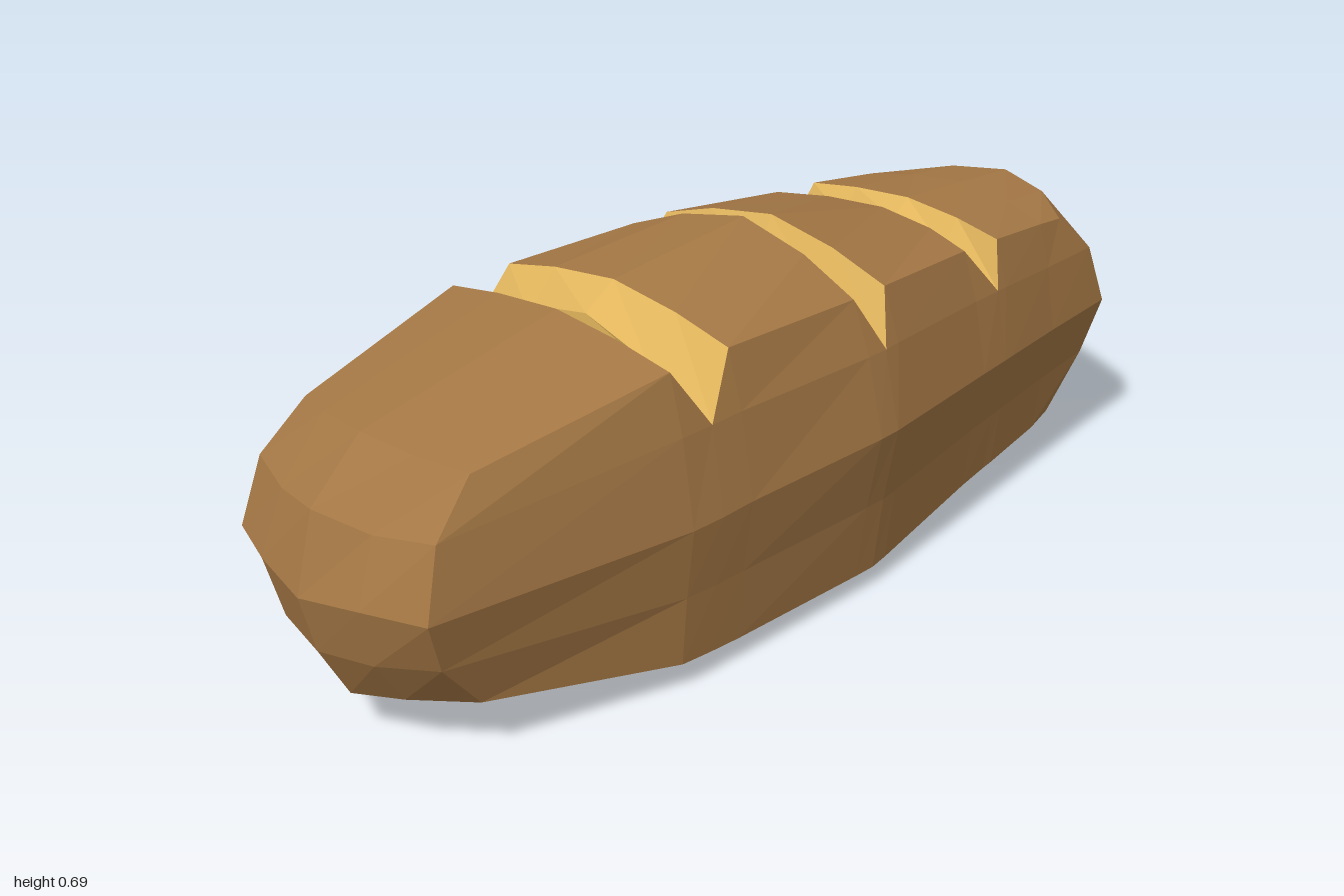
import * as THREE from 'three';

const mix = (a, b, t) => a + (b - a) * t;

// Sixteen-point cross-section: bottom centre, round the left side, top centre, mirrored back.
// dz bows the side, top and bottom along z; cut sinks the top corners into a score.
function makeRing({ z, w, y, dz = [0, 0, 0], cut = false }) {
  const [wSide, wTop, wBot] = w;
  const [yBot, yBotCorner, ySide, yTopCorner, yTop] = y;
  const [dSide, dTop, dBot] = dz;
  const quarter = [mix(wSide, wTop, 0.47), mix(ySide, yTopCorner, 0.6), z + 0.7 * dSide];
  const corner = cut ? quarter : [wTop, yTopCorner, z];
  const half = [
    [0, yBot, z + dBot],
    [wBot * 0.5, mix(yBotCorner, yBot, 0.25), z + 0.7 * dBot],
    [wBot, yBotCorner, z],
    [mix(wSide, wBot, 0.6), mix(ySide, yBotCorner, 0.5), z + 0.7 * dSide],
    [wSide, ySide, z + dSide],
    quarter,
    corner,
    [wTop * 0.55, mix(corner[1], yTop, 0.6), z + 0.7 * dTop],
    [0, yTop, z + dTop],
  ];
  const mirrored = half.slice(1, 8).reverse().map(([x, py, pz]) => [-x, py, pz]);
  return [...half, ...mirrored];
}

// Stations from front to back. w: side, top, bottom half widths.
// y: bottom centre, bottom corner, side, top corner, top centre.
const stations = [
  { z: 0.80, w: [0.25, 0.215, 0.215], y: [0.095, 0.12, 0.335, 0.55, 0.572], dz: [0.13, 0.05, 0.11] },
  { z: 0.41, w: [0.335, 0.28, 0.305], y: [0.015, 0.057, 0.337, 0.62, 0.655] },
  { z: 0.34, w: [0.34, 0.28, 0.307], y: [0.014, 0.053, 0.34, 0.62, 0.625], cut: true },
  { z: 0.27, w: [0.343, 0.283, 0.308], y: [0.012, 0.05, 0.345, 0.622, 0.67] },
  { z: -0.06, w: [0.362, 0.285, 0.31], y: [0.003, 0.045, 0.355, 0.612, 0.698], dz: [0, -0.01, 0] },
  { z: -0.11, w: [0.36, 0.285, 0.31], y: [0.003, 0.045, 0.355, 0.612, 0.605], cut: true },
  { z: -0.15, w: [0.354, 0.283, 0.306], y: [0.008, 0.049, 0.354, 0.612, 0.68] },
  { z: -0.44, w: [0.31, 0.245, 0.27], y: [0.04, 0.084, 0.346, 0.588, 0.605], dz: [0, -0.045, 0] },
  { z: -0.52, w: [0.3, 0.243, 0.26], y: [0.045, 0.09, 0.345, 0.583, 0.57], cut: true },
  { z: -0.55, w: [0.296, 0.241, 0.257], y: [0.045, 0.092, 0.345, 0.581, 0.605], dz: [0, -0.015, 0] },
  { z: -0.72, w: [0.273, 0.225, 0.235], y: [0.045, 0.105, 0.342, 0.562, 0.592], dz: [0, -0.03, -0.03] },
  { z: -0.80, w: [0.25, 0.215, 0.215], y: [0.08, 0.11, 0.34, 0.55, 0.58], dz: [-0.13, -0.1, -0.1] },
];

function addQuad(out, a, b, c, d) {
  out.push(...a, ...b, ...c, ...a, ...c, ...d);
}

// Domed end: a 5 x 5 grid whose border is the end ring.
// rows: [centre y, centre z, side x, side y, side z] from bottom to top.
function addCap(out, r, rows, isFront) {
  const inner = rows.map(([cy, cz, sx, sy, sz]) => [[-sx, sy, sz], [0, cy, cz], [sx, sy, sz]]);
  const grid = [
    [r[14], r[15], r[0], r[1], r[2]],
    [r[13], ...inner[0], r[3]],
    [r[12], ...inner[1], r[4]],
    [r[11], ...inner[2], r[5]],
    [r[10], r[9], r[8], r[7], r[6]],
  ];
  for (let j = 0; j < 4; j++) {
    for (let i = 0; i < 4; i++) {
      const q = [grid[j][i], grid[j][i + 1], grid[j + 1][i + 1], grid[j + 1][i]];
      addQuad(out, ...(isFront ? q : q.reverse()));
    }
  }
}

function makeMesh(name, points, color) {
  const geometry = new THREE.BufferGeometry();
  geometry.setAttribute('position', new THREE.Float32BufferAttribute(points, 3));
  geometry.computeVertexNormals();
  const material = new THREE.MeshStandardMaterial({ color, flatShading: true });
  const mesh = new THREE.Mesh(geometry, material);
  mesh.name = name;
  return mesh;
}

export function createModel() {
  const group = new THREE.Group();
  group.name = 'breadLoaf';
  const rings = stations.map(makeRing);
  const crust = [];
  const scores = [[], [], []];

  // Crust between stations; the top strips next to a cut are the score walls
  let score = 0;
  for (let s = 0; s < rings.length - 1; s++) {
    const a = rings[s], b = rings[s + 1];
    const isScore = stations[s].cut || stations[s + 1].cut;
    for (let i = 0; i < 16; i++) {
      const k = (i + 1) % 16;
      const target = isScore && i >= 6 && i <= 9 ? scores[score] : crust;
      addQuad(target, a[i], b[i], b[k], a[k]);
    }
    if (stations[s].cut) score++;
  }

  // Rounded ends
  addCap(crust, rings[0], [
    [0.205, 0.97, 0.12, 0.215, 0.945],
    [0.32, 1.0, 0.13, 0.335, 0.975],
    [0.47, 0.96, 0.12, 0.455, 0.93],
  ], true);
  addCap(crust, rings[rings.length - 1], [
    [0.2, -0.99, 0.12, 0.21, -0.955],
    [0.34, -1.0, 0.13, 0.338, -0.975],
    [0.47, -0.985, 0.12, 0.455, -0.95],
  ], false);

  group.add(makeMesh('crust', crust, 0xa57845));
  ['frontScore', 'middleScore', 'backScore'].forEach((name, i) => {
    group.add(makeMesh(name, scores[i], 0xe0b45c));
  });
  return group;
}
